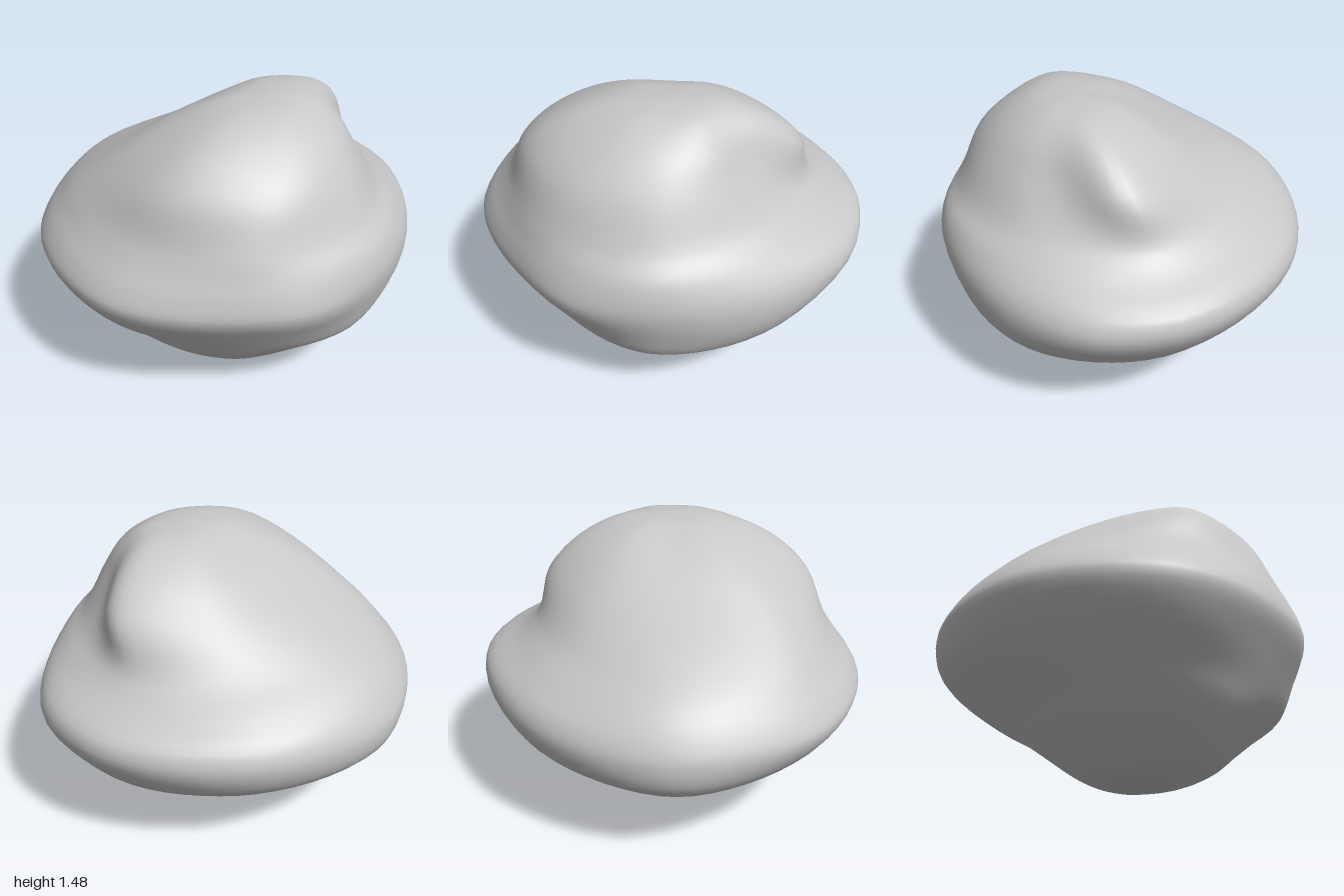
import * as THREE from 'three';
import { mergeVertices } from 'three/addons/utils/BufferGeometryUtils.js';

// Cross-sections: height, centre x, centre z, then eight radii
// (+x, +x+z, +z, -x+z, -x, -x-z, -z, +x-z)
const sections = [
  // rounded underside
  [0.02, -0.09, 0.07, 0.24, 0.23, 0.21, 0.21, 0.20, 0.20, 0.20, 0.22],
  [0.10, -0.09, 0.07, 0.43, 0.45, 0.42, 0.38, 0.34, 0.33, 0.35, 0.38],
  [0.20, -0.09, 0.07, 0.58, 0.59, 0.54, 0.50, 0.49, 0.48, 0.52, 0.51],
  [0.30, -0.09, 0.07, 0.74, 0.72, 0.66, 0.59, 0.59, 0.60, 0.65, 0.65],
  [0.40, -0.08, 0.06, 0.86, 0.85, 0.79, 0.67, 0.69, 0.73, 0.81, 0.80],
  // wide brim
  [0.55, -0.08, 0.05, 0.99, 0.95, 0.86, 0.77, 0.84, 0.89, 0.98, 0.96],
  [0.70, -0.08, 0.05, 1.07, 0.97, 0.90, 0.85, 0.92, 0.97, 1.01, 1.02],
  [0.80, -0.08, 0.05, 1.05, 0.94, 0.90, 0.84, 0.88, 0.93, 0.97, 0.99],
  // crease and leaning dome
  [0.90, -0.06, 0.07, 0.86, 0.83, 0.85, 0.81, 0.82, 0.88, 0.91, 0.87],
  [1.00, -0.05, 0.10, 0.75, 0.70, 0.74, 0.76, 0.76, 0.82, 0.80, 0.73],
  [1.20, -0.02, 0.20, 0.67, 0.50, 0.53, 0.61, 0.70, 0.67, 0.55, 0.58],
  [1.35, 0.00, 0.24, 0.50, 0.36, 0.37, 0.43, 0.55, 0.47, 0.36, 0.42],
  [1.455, 0.00, 0.26, 0.28, 0.21, 0.18, 0.22, 0.28, 0.23, 0.17, 0.23],
];
const bottomPole = new THREE.Vector3(-0.1, 0, 0.07);
const topPole = new THREE.Vector3(0, 1.48, 0.27);

// Local bulges and dents: angle in degrees from +x to +z, height, amount, angular and vertical spread
const bulges = [
  { angle: 24, y: 0.70, amount: 0.045, wide: 16, tall: 0.2 },
  { angle: 115, y: 0.68, amount: 0.035, wide: 16, tall: 0.2 },
  { angle: 26, y: 1.20, amount: -0.06, wide: 20, tall: 0.2 },
];

function bulgeAt(degrees, y) {
  return bulges.reduce((sum, b) => sum + b.amount *
    Math.exp(-(((degrees - b.angle) / b.wide) ** 2) - ((y - b.y) / b.tall) ** 2), 0);
}

function buildBoulder(around, perSpan) {
  // closed smooth curve round each section
  const rings = sections.map(([y, cx, cz, ...radii]) => new THREE.CatmullRomCurve3(
    radii.map((r, k) => {
      const a = k * Math.PI / 4;
      return new THREE.Vector3(cx + r * Math.cos(a), y, cz + r * Math.sin(a));
    }), true));

  // smooth ribs from pole to pole, pushed out or in by the bulges
  const rows = (sections.length + 1) * perSpan;
  const positions = [], index = [];
  for (let j = 0; j < around; j++) {
    const turn = j / around, a = turn * Math.PI * 2;
    const rib = new THREE.CatmullRomCurve3(
      [bottomPole, ...rings.map((ring) => ring.getPoint(turn)), topPole]);
    for (let i = 0; i <= rows; i++) {
      const p = rib.getPoint(i / rows);
      const push = i === 0 || i === rows ? 0 : bulgeAt(turn * 360, p.y);
      positions.push(p.x + push * Math.cos(a), p.y, p.z + push * Math.sin(a));
    }
  }

  // skin between neighbouring ribs, with single triangles at the poles
  for (let j = 0; j < around; j++) {
    const here = j * (rows + 1), next = ((j + 1) % around) * (rows + 1);
    for (let i = 0; i < rows; i++) {
      const a = here + i, b = next + i;
      if (i > 0) index.push(a, a + 1, b);
      if (i === 0) index.push(a, a + 1, b + 1);
      else if (i < rows - 1) index.push(a + 1, b + 1, b);
    }
  }
  const skin = new THREE.BufferGeometry();
  skin.setAttribute('position', new THREE.Float32BufferAttribute(positions, 3));
  skin.setIndex(index);
  const geometry = mergeVertices(skin, 1e-5);
  geometry.computeVertexNormals();
  return geometry;
}

export function createModel() {
  const stone = new THREE.MeshStandardMaterial({ color: 0xc8c8c8 });
  stone.name = 'stone grey';

  const boulder = new THREE.Mesh(buildBoulder(64, 4), stone);
  boulder.name = 'boulder';

  const group = new THREE.Group();
  group.name = 'rock';
  group.add(boulder);
  return group;
}
